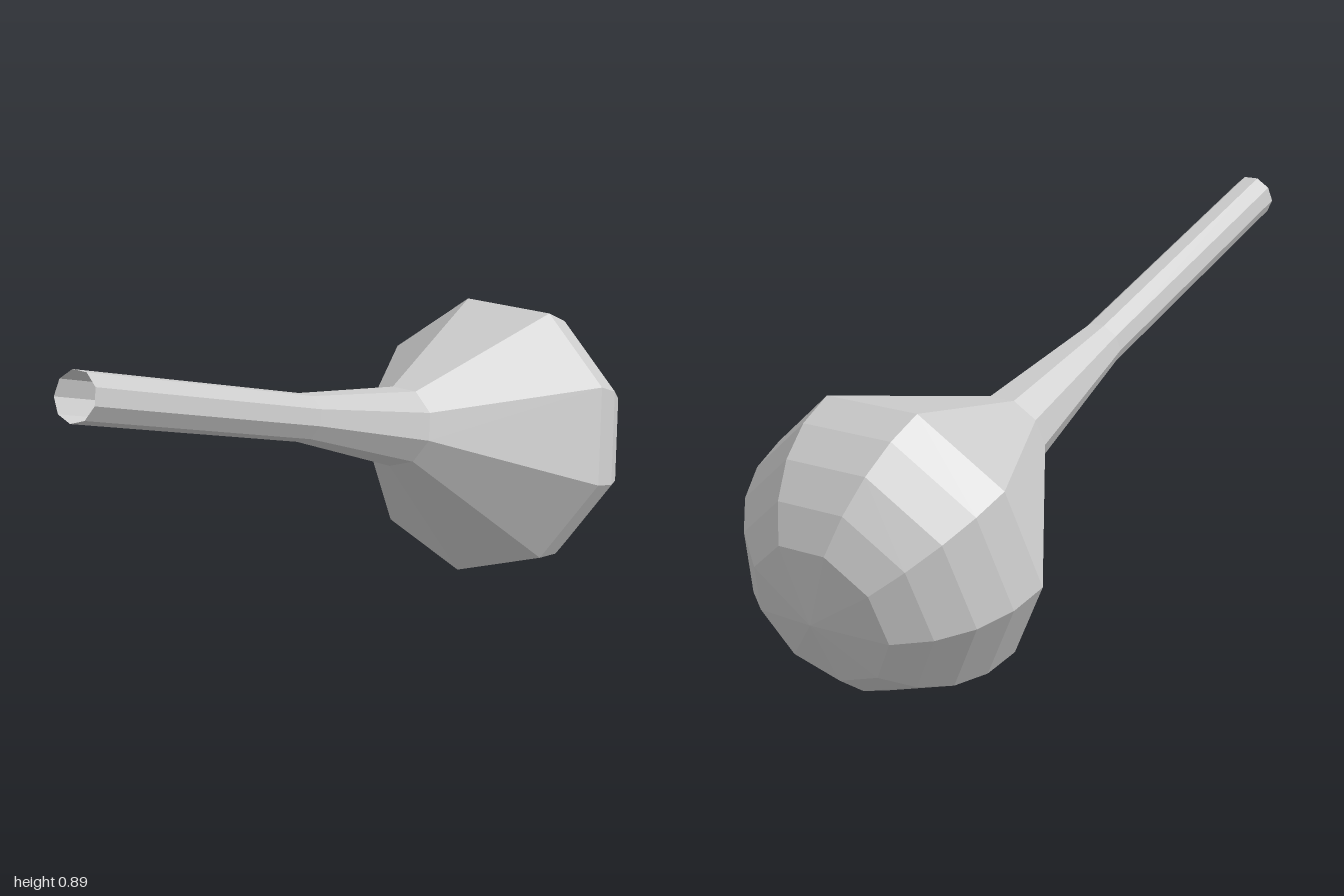
import * as THREE from 'three';

const SIDES = 9;
const HEAD_RADIUS = 0.38;
const HEAD_START = 1.70; // distance along the axis where the dome begins

export function createModel() {
  const group = new THREE.Group();
  const material = new THREE.MeshStandardMaterial({
    color: 0xcccccc, flatShading: true, side: THREE.DoubleSide,
  });

  // tilted axis from the open handle end to the tip of the head
  const axis = new THREE.Vector3(0.956, -0.266, -0.121).normalize();
  const down = new THREE.Vector3(-0.268, -0.963, 0).normalize();
  const across = new THREE.Vector3().crossVectors(axis, down).normalize();
  down.crossVectors(across, axis);
  const placement = new THREE.Matrix4()
    .makeBasis(across, axis, down)
    .setPosition(-0.984, 0.836, 0.205);

  // each part is a faceted lathe of [radius, distance along axis]
  function addLathe(name, profile) {
    const points = profile.map(([r, d]) => new THREE.Vector2(r, d));
    const geometry = new THREE.LatheGeometry(points, SIDES).applyMatrix4(placement);
    const mesh = new THREE.Mesh(geometry, material);
    mesh.name = name;
    group.add(mesh);
  }

  // open-ended handle, then the flared neck
  addLathe('handle', [[0.059, 0], [0.06, 0.83], [0.104, 1.26]]);
  addLathe('neck', [[0.104, 1.26], [HEAD_RADIUS, HEAD_START]]);

  // domed head: rings every 15 degrees, closed by a shallow cone
  const dome = [0, 15, 30, 45, 60].map((deg) => {
    const a = THREE.MathUtils.degToRad(deg);
    return [HEAD_RADIUS * Math.cos(a), HEAD_START + HEAD_RADIUS * Math.sin(a)];
  });
  dome.push([0, HEAD_START + 0.367]);
  addLathe('head', dome);

  return group;
}
